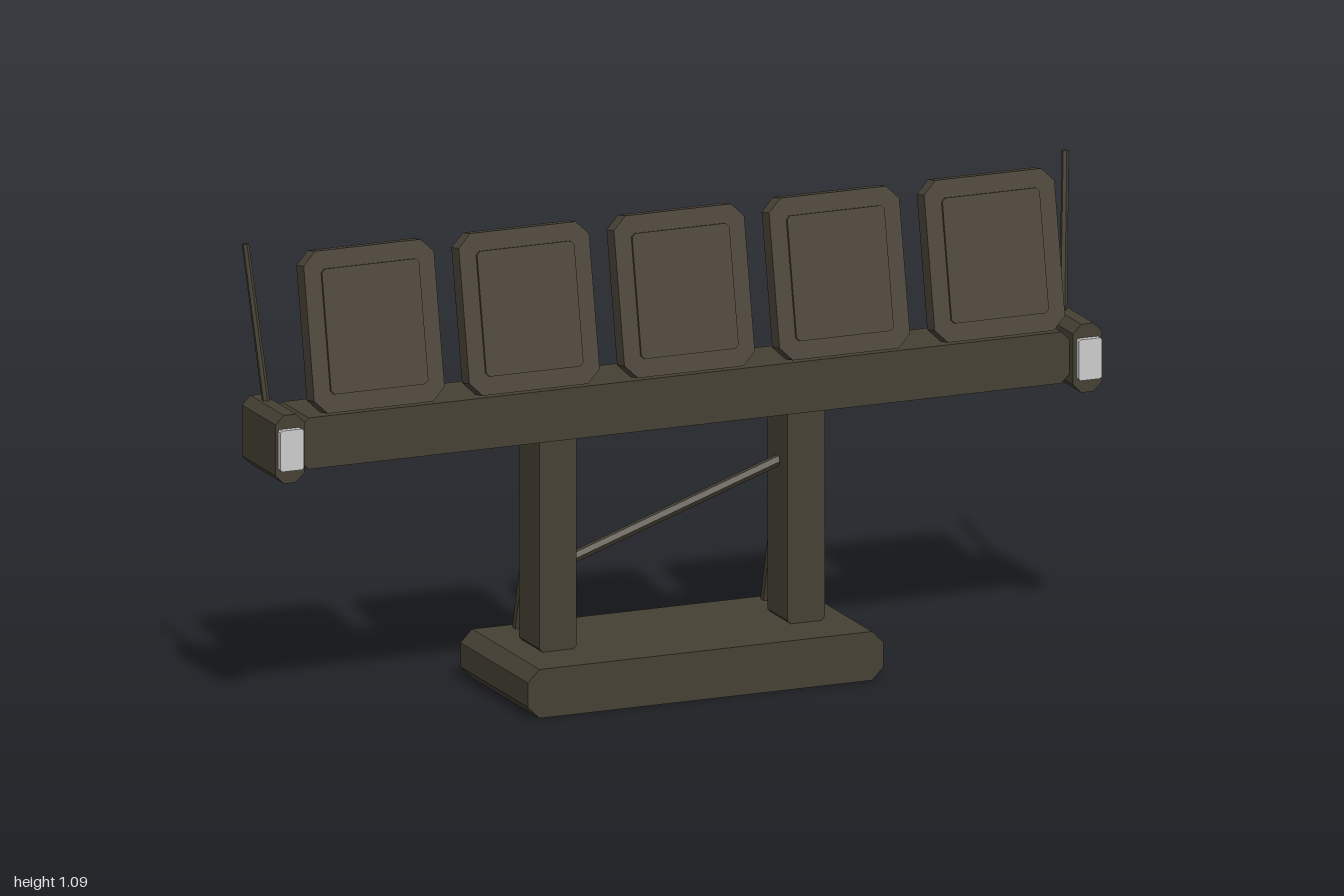
import * as THREE from 'three';

export function createModel() {
  const root = new THREE.Group();
  const material = (name, color) => {
    const m = new THREE.MeshStandardMaterial({ color });
    m.name = name;
    return m;
  };
  const frameMat = material('olive frame', 0x454033);
  const panelMat = material('brown panel', 0x4a4338);
  const lampMat = material('pale lamp', 0xcccccc);

  // Block with its four long edges chamfered, centred on the origin
  function chamferBlock(w, h, d, c) {
    const x = w / 2, y = h / 2;
    const shape = new THREE.Shape([
      [-x + c, -y], [x - c, -y], [x, -y + c], [x, y - c],
      [x - c, y], [-x + c, y], [-x, y - c], [-x, -y + c],
    ].map(([a, b]) => new THREE.Vector2(a, b)));
    return new THREE.ExtrudeGeometry(shape, { depth: d, bevelEnabled: false }).translate(0, 0, -d / 2);
  }

  function add(name, geo, mat, pos = [0, 0, 0], parent = root) {
    const mesh = new THREE.Mesh(geo, mat);
    mesh.name = name;
    mesh.position.set(...pos);
    parent.add(mesh);
    return mesh;
  }

  // Six-sided rod between two points
  function rod(name, from, to, r0, r1 = r0) {
    const a = new THREE.Vector3(...from), b = new THREE.Vector3(...to);
    const dir = b.clone().sub(a);
    const geo = new THREE.CylinderGeometry(r1, r0, dir.length(), 6).toNonIndexed();
    geo.computeVertexNormals();
    const mesh = add(name, geo, frameMat, a.add(b).multiplyScalar(0.5).toArray());
    mesh.quaternion.setFromUnitVectors(new THREE.Vector3(0, 1, 0), dir.normalize());
  }

  // Base, beam and diagonal tie
  add('base', chamferBlock(0.86, 0.112, 0.374, 0.028), frameMat, [0, 0.056, 0]);
  add('beam', chamferBlock(1.86, 0.118, 0.15, 0.02), frameMat, [0, 0.657, -0.003]);
  rod('crossTie', [-0.27, 0.295, 0], [0.27, 0.48, 0], 0.013);

  for (const s of [-1, 1]) {
    // Column with its rear strut
    add('column', chamferBlock(0.09, 0.5, 0.112, 0.012), frameMat, [s * 0.3, 0.358, 0]);
    rod('rearStrut', [s * 0.3, 0.112, -0.158], [s * 0.3, 0.527, -0.046], 0.016);

    // End block with lamp and whip rod
    add('endBlock', chamferBlock(0.07, 0.157, 0.186, 0.02), frameMat, [s * 0.964, 0.656, 0]);
    add('lamp', chamferBlock(0.056, 0.094, 0.014, 0.004), lampMat, [s * 0.965, 0.656, 0.1]);
    rod('whipRod', [s * 0.963, 0.725, -0.04], [s * 0.991, 1.084, -0.092], 0.009, 0.008);
  }

  // Row of tilted panels, each with a raised face and a short post behind
  const panelGeo = chamferBlock(0.315, 0.362, 0.042, 0.03);
  const faceGeo = chamferBlock(0.235, 0.28, 0.006, 0.008);
  for (let i = -2; i <= 2; i++) {
    const x = i * 0.375;
    const panel = new THREE.Group();
    panel.name = 'panel';
    panel.position.set(x, 0.904, 0.048);
    panel.rotation.x = -0.195;
    add('panelBody', panelGeo, panelMat, [0, 0, 0], panel);
    add('panelFace', faceGeo, panelMat, [0, 0, 0.024], panel);
    root.add(panel);
    rod('rearPost', [x, 0.7, -0.022], [x, 0.841, -0.027], 0.018);
  }
  return root;
}
